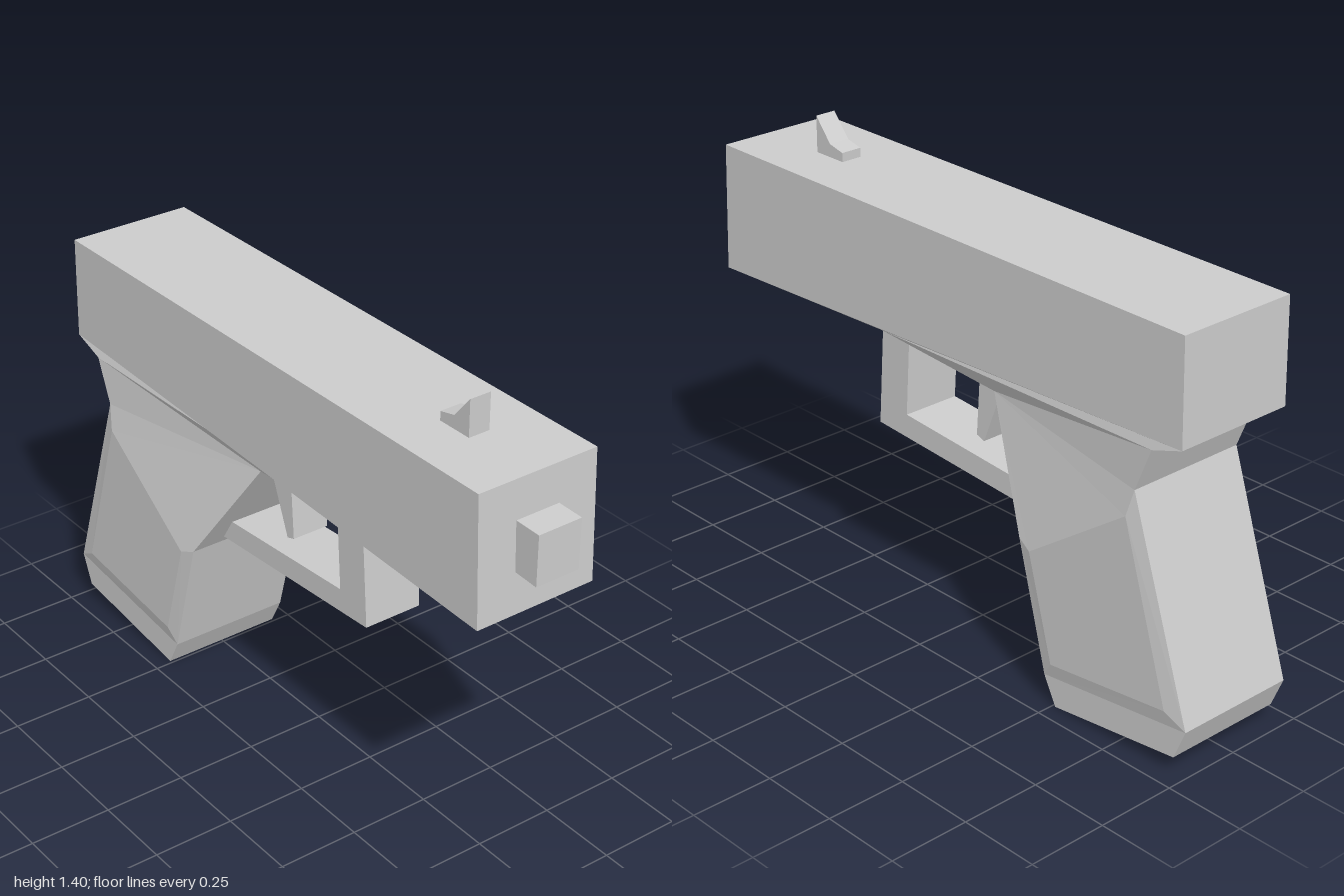
import * as THREE from 'three';

const material = new THREE.MeshStandardMaterial({ color: 0xcccccc, flatShading: true });

// Side outline of [z, y] points, extruded symmetrically across x
function prism(name, outline, halfWidth) {
  const shape = new THREE.Shape(outline.map(([z, y]) => new THREE.Vector2(-z, y)));
  const geometry = new THREE.ExtrudeGeometry(shape, { depth: halfWidth * 2, bevelEnabled: false });
  geometry.translate(0, 0, -halfWidth);
  geometry.rotateY(Math.PI / 2);
  const mesh = new THREE.Mesh(geometry, material);
  mesh.name = name;
  return mesh;
}

// Tapered frame and grip: a loop of [z, y, half width], plus a raised side panel
function frameAndGrip() {
  const loop = [
    [0.925, 0.895, 0.195], [0.33, 0.85, 0.095], [-0.15, 0.82, 0.095],
    [-0.36, 0.48, 0.195], [-0.465, 0.09, 0.195], [-0.51, 0.003, 0.195],
    [-0.96, 0.055, 0.195], [-1, 0.15, 0.195], [-0.79, 0.79, 0.195],
    [-0.845, 0.925, 0.195], [-0.95, 0.96, 0.195],
  ];
  const panel = [[-0.41, 0.46, 0.206], [-0.5, 0.14, 0.206], [-0.93, 0.19, 0.206], [-0.77, 0.71, 0.206]];
  const points = [...loop, ...panel];
  const sideFaces = [
    [0, 1, 10], [1, 2, 9], [1, 9, 10],                    // taper under the slide
    [2, 3, 11], [2, 11, 14], [2, 14, 8], [2, 8, 9],       // upper grip
    [3, 4, 12, 11], [4, 7, 13, 12], [7, 8, 14, 13],       // bevel round the panel
    [4, 5, 6, 7], [11, 12, 13, 14],                       // foot and panel
  ];
  const positions = [];
  const addFace = (corners) => {
    for (let i = 1; i < corners.length - 1; i++) {
      positions.push(...corners[0], ...corners[i], ...corners[i + 1]);
    }
  };
  const at = (i, side) => [points[i][2] * side, points[i][1], points[i][0]];
  for (const face of sideFaces) {
    addFace(face.map((i) => at(i, 1)));
    addFace([...face].reverse().map((i) => at(i, -1)));
  }
  // Faces running across the width
  for (let i = 0; i < loop.length; i++) {
    const j = (i + 1) % loop.length;
    addFace([at(i, 1), at(i, -1), at(j, -1), at(j, 1)]);
  }
  const geometry = new THREE.BufferGeometry();
  geometry.setAttribute('position', new THREE.Float32BufferAttribute(positions, 3));
  geometry.computeVertexNormals();
  const mesh = new THREE.Mesh(geometry, material);
  mesh.name = 'frameAndGrip';
  return mesh;
}

export function createModel() {
  const model = new THREE.Group();
  model.name = 'pistol';
  model.add(
    prism('slide', [[0.91, 1.29], [0.925, 0.895], [-0.95, 0.96], [-0.945, 1.275]], 0.195),
    prism('barrel', [[1, 1.17], [1, 1.017], [0.9, 1.023], [0.9, 1.172]], 0.071),
    prism('frontSight', [[0.68, 1.4], [0.68, 1.28], [0.565, 1.28], [0.565, 1.315], [0.62, 1.328]], 0.034),
    frameAndGrip(),
    prism('triggerGuard', [
      [0.325, 0.86], [0.345, 0.55], [-0.36, 0.503], [-0.32, 0.575],
      [0.225, 0.615], [0.21, 0.86],
    ], 0.094),
    prism('trigger', [[-0.053, 0.84], [-0.04, 0.635], [-0.07, 0.625], [-0.155, 0.84]], 0.06),
  );
  return model;
}
